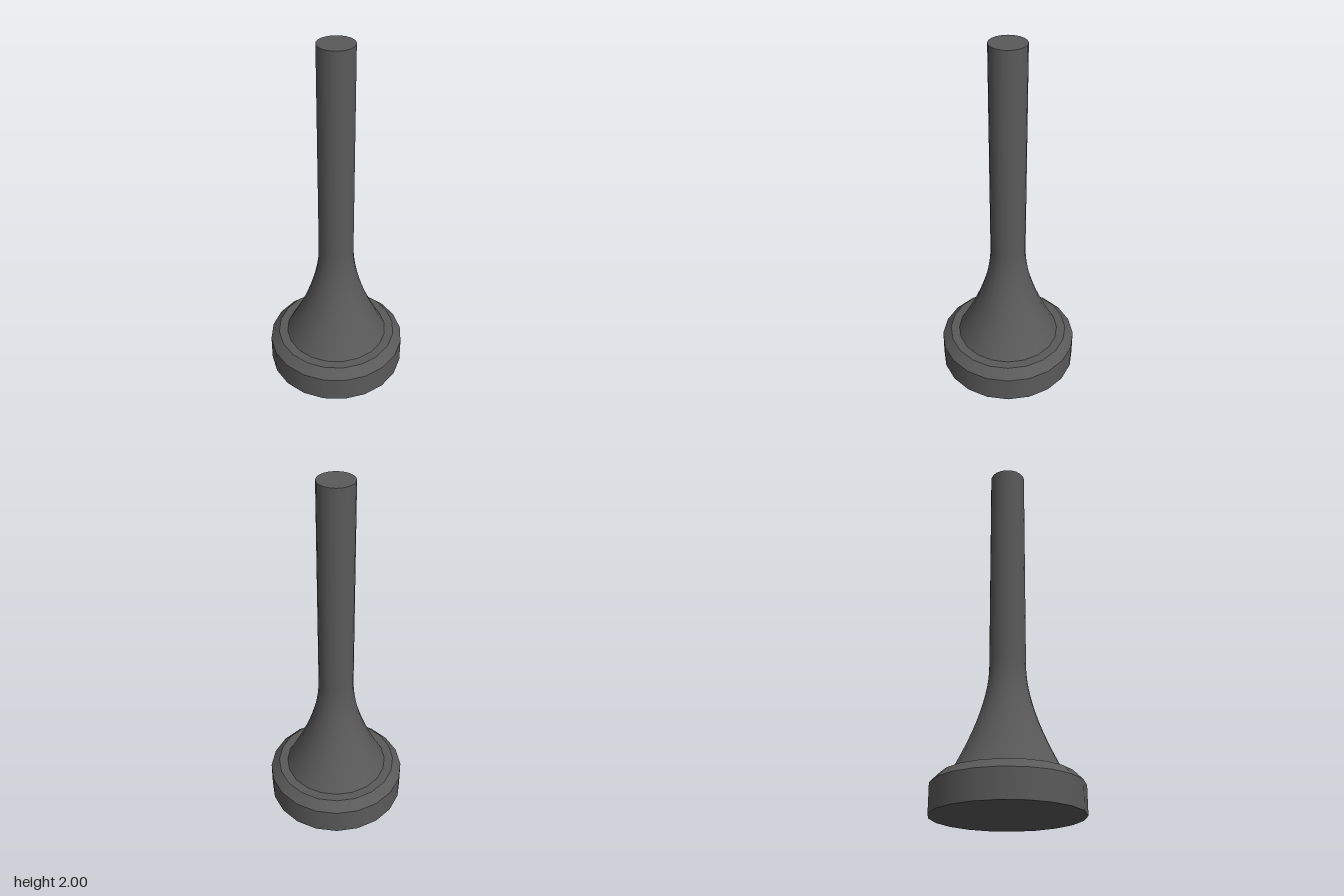
import * as THREE from 'three';

const SIDES = 20;

export function createModel() {
  const model = new THREE.Group();
  const darkGrey = new THREE.MeshStandardMaterial({ color: 0x5a5a5a });
  darkGrey.name = 'darkGrey';

  // Revolves a profile of [radius, height] points; separate bands keep sharp edges between them
  const band = (name, points, parent) => {
    const profile = points.map(([r, y]) => new THREE.Vector2(r, y));
    const mesh = new THREE.Mesh(new THREE.LatheGeometry(profile, SIDES), darkGrey);
    mesh.name = name;
    parent.add(mesh);
  };

  // Chamfered round foot
  const base = new THREE.Group();
  base.name = 'base';
  band('baseUnderside', [[0, 0], [0.393, 0]], base);
  band('baseRim', [[0.393, 0], [0.393, 0.15]], base);
  band('baseChamfer', [[0.393, 0.15], [0.343, 0.2]], base);
  band('baseTop', [[0.343, 0.2], [0.293, 0.2]], base);
  model.add(base);

  // Flared neck running smoothly into the straight rod
  const flare = new THREE.QuadraticBezierCurve(
    new THREE.Vector2(0.293, 0.2),
    new THREE.Vector2(0.098, 0.55),
    new THREE.Vector2(0.098, 0.8)
  );
  const neck = flare.getPoints(12).map((p) => [p.x, p.y]);
  const stem = new THREE.Group();
  stem.name = 'stem';
  band('flareAndRod', [...neck, [0.098, 2]], stem);
  band('rodEnd', [[0.098, 2], [0, 2]], stem);
  model.add(stem);

  return model;
}
